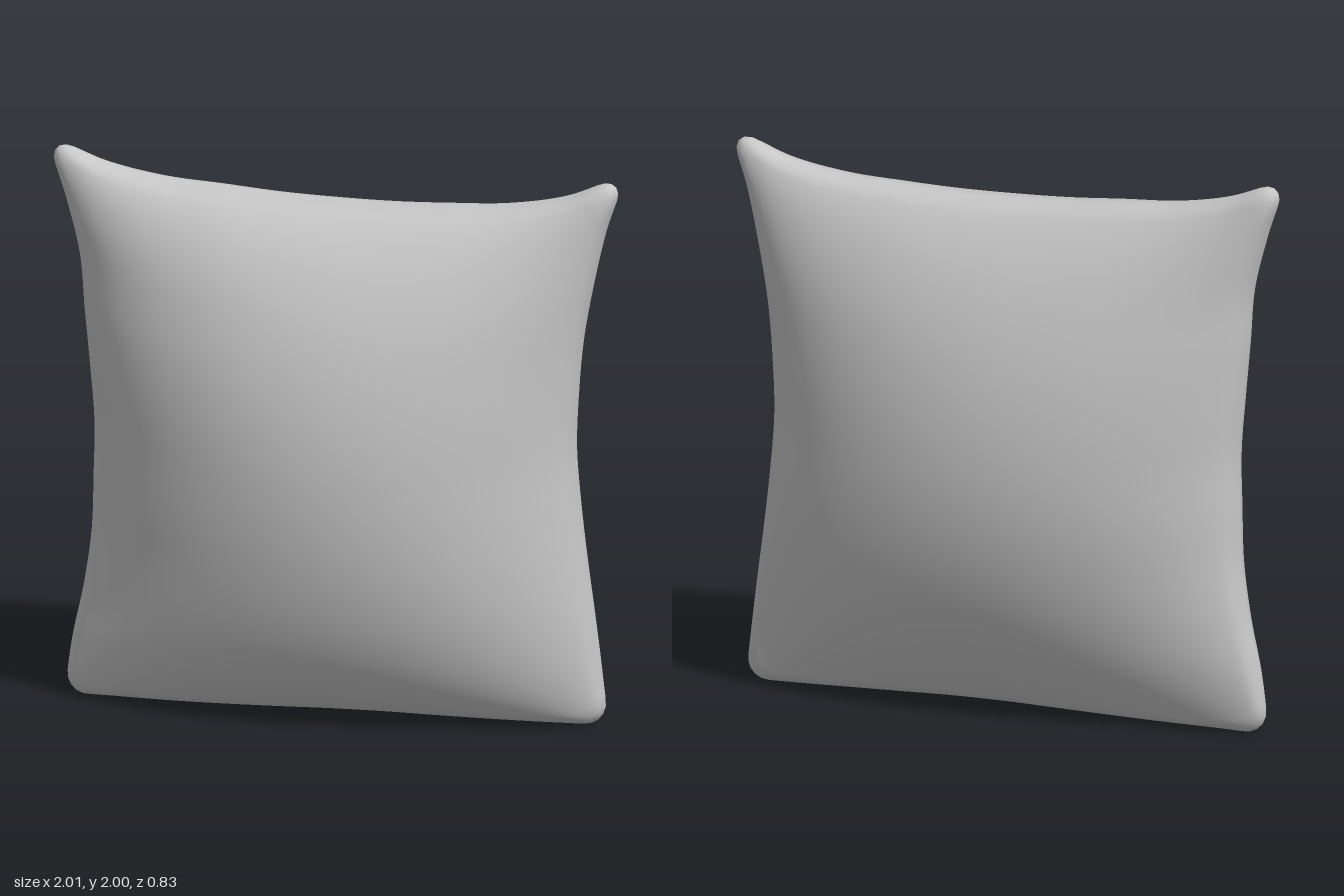
import * as THREE from 'three';

// Smooth function on [-1, 1] through evenly spaced values
function profile(values) {
  const n = values.length - 1;
  const curve = new THREE.SplineCurve(values.map((v, i) => new THREE.Vector2(i / n, v)));
  return (t) => curve.getPoint(THREE.MathUtils.clamp((t + 1) / 2, 0, 1)).y;
}

// The four concave sides of the cushion
const topEdge = profile([2.02, 1.948, 1.907, 1.89, 1.873, 1.865, 1.863, 1.87, 1.883, 1.922, 2.0]);
const bottomEdge = profile([0, 0.004, 0.006, 0.01, 0.015, 0.02, 0.02, 0.015, 0.01, 0.005, 0.002]);
const leftEdge = profile([0.965, 0.942, 0.9, 0.872, 0.865, 0.862, 0.878, 0.897, 0.915, 0.965, 1.025]);
const rightEdge = profile([0.965, 0.945, 0.92, 0.893, 0.87, 0.855, 0.862, 0.88, 0.915, 0.96, 1.02]);

// Stuffing of each half: depth, and falloff towards the sides, top and bottom
const frontHalf = { sign: 1, depth: 0.42, side: 0.76, up: 0.6, down: 0.48 };
const backHalf = { sign: -1, depth: 0.345, side: 0.66, up: 0.71, down: 0.82 };

// Square with rounded corners, the parameter outline of the seam
function roundedSquare(radius, count) {
  const c = 1 - radius;
  const s = new THREE.Shape();
  for (let k = 0; k < 4; k++) {
    const a = (k * Math.PI) / 2;
    const cx = k === 0 || k === 3 ? c : -c;
    const cy = k < 2 ? c : -c;
    s.absarc(cx, cy, radius, a, a + Math.PI / 2, false);
  }
  s.closePath();
  return s.getSpacedPoints(count).slice(0, count);
}

function cushionGeometry() {
  const around = 280, layers = 120;
  const seamZ = -0.035, rim = 0.035, rimStart = 0.955;
  const outline = roundedSquare(0.085, around);
  const positions = [], index = [];

  // Rings run from the front centre, over the seam, to the back centre
  for (let j = 0; j <= layers; j++) {
    const r = Math.sin((j / layers) * Math.PI);
    const half = j <= layers / 2 ? frontHalf : backHalf;
    // Rounded band along the seam
    const band = Math.max(0, (r - rimStart) / (1 - rimStart));
    const round = Math.sqrt(Math.max(0, 1 - band * band));
    for (const q of outline) {
      const u = q.x * r, v = q.y * r;
      const x = THREE.MathUtils.lerp(-leftEdge(v), rightEdge(v), (u + 1) / 2);
      const y = THREE.MathUtils.lerp(bottomEdge(u), topEdge(u), (v + 1) / 2);
      const puff = Math.max(0, 1 - u * u) ** half.side
        * Math.max(0, 1 - v * v) ** (v < 0 ? half.down : half.up);
      const thickness = half.depth * puff * Math.min(1, round * 1.5) + rim * round;
      positions.push(x, y, seamZ + half.sign * thickness);
    }
  }
  for (let j = 0; j < layers; j++) {
    for (let i = 0; i < around; i++) {
      const n = (i + 1) % around;
      const a = j * around + i, b = j * around + n;
      const c = a + around, d = b + around;
      if (j < layers - 1) index.push(a, c, d);
      if (j > 0) index.push(a, d, b);
    }
  }
  const g = new THREE.BufferGeometry();
  g.setAttribute('position', new THREE.Float32BufferAttribute(positions, 3));
  g.setIndex(index);
  g.computeVertexNormals();
  // Flat normals at the two centre points
  const normal = g.attributes.normal;
  for (let i = 0; i < around; i++) {
    normal.setXYZ(i, 0, 0, 1);
    normal.setXYZ(layers * around + i, 0, 0, -1);
  }
  return g;
}

export function createModel() {
  const group = new THREE.Group();
  group.name = 'throwPillow';
  const fabric = new THREE.MeshStandardMaterial({ color: 0xc6c6c6 });
  fabric.name = 'greyFabric';
  const cushion = new THREE.Mesh(cushionGeometry(), fabric);
  cushion.name = 'cushion';
  group.add(cushion);
  return group;
}
